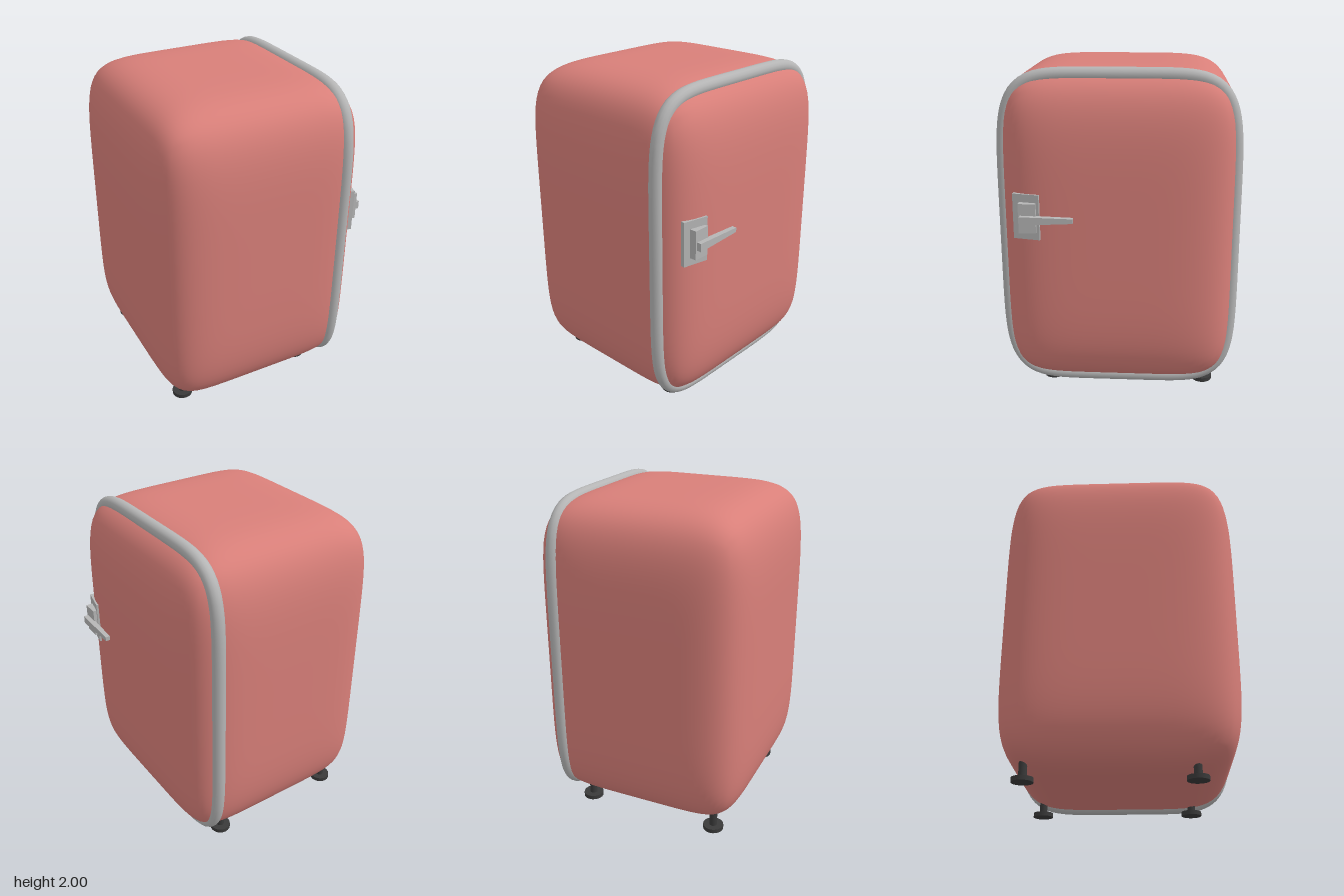
import * as THREE from 'three';
import { mergeVertices } from 'three/addons/utils/BufferGeometryUtils.js';

const paint = new THREE.MeshStandardMaterial({ color: 0xd87f79 });
paint.name = 'coralPaint';
const metal = new THREE.MeshStandardMaterial({ color: 0xb5b5b5 });
metal.name = 'paleMetal';
const rubber = new THREE.MeshStandardMaterial({ color: 0x3a3a3a });
rubber.name = 'darkRubber';

const MID_Y = 1.02;

function add(parent, name, geometry, material, x = 0, y = 0, z = 0) {
  const mesh = new THREE.Mesh(geometry, material);
  mesh.name = name;
  mesh.position.set(x, y, z);
  parent.add(mesh);
  return mesh;
}

// Cube inflated into a soft, bulging box with rounded edges
function softBox(hx, hy, hz, power, cornerFill) {
  const box = new THREE.BoxGeometry(2, 2, 2, 32, 32, 32);
  box.deleteAttribute('normal');
  box.deleteAttribute('uv');
  const geo = mergeVertices(box);
  const pos = geo.attributes.position;
  const v = new THREE.Vector3();
  for (let i = 0; i < pos.count; i++) {
    v.fromBufferAttribute(pos, i);
    const [a, b, c] = v.toArray().map((t) => Math.abs(t) ** power);
    const sum = a + b + c;
    const size = (sum - (cornerFill * a * b * c) / (sum * sum)) ** (1 / power);
    v.divideScalar(size);
    pos.setXYZ(i, v.x * hx, v.y * hy, v.z * hz);
  }
  geo.computeVertexNormals();
  return geo;
}

// Closed rounded-rectangle loop in the plane of the door seam
function trimGeometry(hy, hz, power, radius) {
  const points = [];
  const n = 96;
  for (let i = 0; i < n; i++) {
    const t = (i / n) * Math.PI * 2;
    const c = Math.cos(t), s = Math.sin(t);
    const r = (Math.abs(c) ** power + Math.abs(s) ** power) ** (-1 / power);
    points.push(new THREE.Vector3(0, s * r * hy, c * r * hz));
  }
  const curve = new THREE.CatmullRomCurve3(points, true);
  return new THREE.TubeGeometry(curve, 160, radius, 14, true);
}

// Lever that narrows towards its free end at -z
function leverGeometry() {
  const geo = new THREE.BoxGeometry(0.038, 0.05, 0.305).toNonIndexed();
  const pos = geo.attributes.position;
  for (let i = 0; i < pos.count; i++) {
    if (pos.getZ(i) < 0) {
      pos.setY(i, pos.getY(i) * 0.55 + 0.004);
      if (pos.getX(i) < 0) pos.setX(i, -0.01);
    }
  }
  geo.computeVertexNormals();
  return geo;
}

export function createModel() {
  const model = new THREE.Group();
  model.name = 'refrigerator';

  // Cabinet with its door on the +x side
  add(model, 'cabinet', softBox(0.665, 0.98, 0.712, 5.5, 2.5), paint, -0.025, MID_Y, 0);
  add(model, 'doorTrim', trimGeometry(0.94, 0.673, 6, 0.041), metal, 0.468, MID_Y, 0);

  // Door latch: tilted plate, raised block and lever
  const latch = new THREE.Group();
  latch.name = 'latch';
  const plate = add(latch, 'latchPlate', new THREE.BoxGeometry(0.04, 0.27, 0.16), metal, 0.607, 1.163, 0.522);
  plate.rotation.y = -0.21;
  add(latch, 'latchBlock', new THREE.BoxGeometry(0.05, 0.175, 0.1), metal, 0.636, 1.163, 0.515);
  add(latch, 'latchLever', leverGeometry(), metal, 0.671, 1.157, 0.4025);
  model.add(latch);

  // Four levelling feet
  for (const x of [-0.5, 0.355]) {
    for (const z of [0.43, -0.525]) {
      const foot = new THREE.Group();
      foot.name = 'foot';
      foot.position.set(x, 0, z);
      add(foot, 'footPad', new THREE.CylinderGeometry(0.063, 0.063, 0.026, 20), rubber, 0, 0.013, 0);
      add(foot, 'footStem', new THREE.CylinderGeometry(0.024, 0.024, 0.13, 16), rubber, 0, 0.085, 0);
      model.add(foot);
    }
  }
  return model;
}
